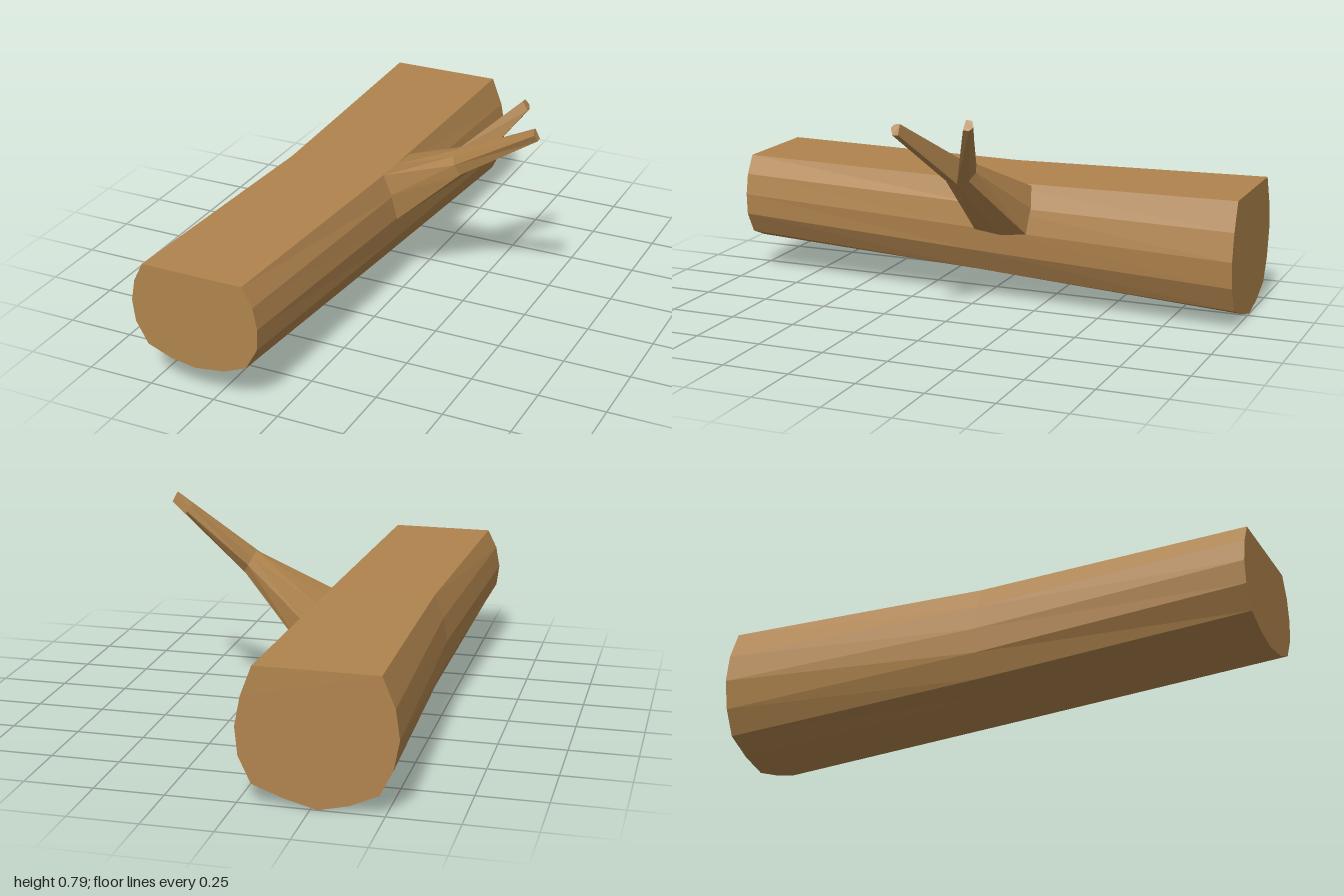
import * as THREE from 'three';

const wood = new THREE.MeshStandardMaterial({ color: 0xb0844d, flatShading: true });
wood.name = 'brown wood';

// Skin a series of matching rings, with optional flat caps at each end
function loft(name, rings, capStart, capEnd) {
  const pos = [];
  const tri = (a, b, c) => pos.push(...a, ...b, ...c);
  for (let r = 0; r < rings.length - 1; r++) {
    const a = rings[r], b = rings[r + 1], n = a.length;
    for (let i = 0; i < n; i++) {
      const j = (i + 1) % n;
      tri(a[i], a[j], b[j]);
      tri(a[i], b[j], b[i]);
    }
  }
  const first = rings[0], last = rings[rings.length - 1];
  for (let i = 1; i < first.length - 1; i++) {
    if (capStart) tri(first[0], first[i + 1], first[i]);
    if (capEnd) tri(last[0], last[i], last[i + 1]);
  }
  const geo = new THREE.BufferGeometry();
  geo.setAttribute('position', new THREE.Float32BufferAttribute(pos, 3));
  geo.computeVertexNormals();
  const mesh = new THREE.Mesh(geo, wood);
  mesh.name = name;
  return mesh;
}

export function createModel() {
  const group = new THREE.Group();
  group.name = 'fallenLog';

  // Log: flat-topped cross-sections at the front, middle and back
  const at = (z, pts) => pts.map(([x, y]) => [x, y, z]);
  const front = at(1, [
    [-0.505, 0.47], [-0.12, 0.47], [-0.08, 0.4], [-0.065, 0.32], [-0.07, 0.24], [-0.115, 0.16], [-0.2, 0.125],
    [-0.315, 0.11], [-0.41, 0.125], [-0.5, 0.16], [-0.545, 0.24], [-0.555, 0.32], [-0.54, 0.4],
  ]);
  const middle = at(0, [
    [-0.465, 0.463], [-0.075, 0.463], [-0.04, 0.38], [-0.025, 0.29], [-0.035, 0.2], [-0.08, 0.115], [-0.18, 0.083],
    [-0.295, 0.07], [-0.39, 0.083], [-0.475, 0.115], [-0.51, 0.2], [-0.515, 0.29], [-0.5, 0.38],
  ]);
  const back = at(-1, [
    [-0.485, 0.477], [-0.055, 0.477], [-0.015, 0.37], [0.005, 0.265], [-0.005, 0.165], [-0.05, 0.07], [-0.16, 0.03],
    [-0.275, 0], [-0.38, 0.025], [-0.48, 0.07], [-0.525, 0.16], [-0.545, 0.265], [-0.53, 0.37],
  ]);
  group.add(loft('log', [front, middle, back], true, true));

  // Branch: from the side of the log up to the fork
  const base = [
    [-0.08, 0.462, -0.09], [-0.075, 0.462, 0.01], [-0.04, 0.39, 0.018], [-0.025, 0.285, 0],
    [-0.025, 0.27, -0.11], [-0.025, 0.28, -0.21], [-0.04, 0.38, -0.222], [-0.07, 0.46, -0.21],
  ];
  const top = [0.2, 0.6, -0.04], bottom = [0.25, 0.52, -0.045];
  const frontSide = [[0.2, 0.588, -0.005], [0.21, 0.56, 0.01], [0.235, 0.525, 0.005]];
  const backSide = [[0.235, 0.53, -0.085], [0.215, 0.56, -0.105], [0.2, 0.588, -0.1]];
  group.add(loft('branch', [base, [top, ...frontSide, bottom, ...backSide]], false, false));

  // Two twigs sharing the fork's edge
  group.add(loft('frontTwig', [
    [top, ...frontSide, bottom],
    [[0.535, 0.783, 0.045], [0.537, 0.781, 0.066], [0.543, 0.768, 0.076], [0.553, 0.745, 0.066], [0.553, 0.747, 0.045]],
  ], false, true));
  group.add(loft('backTwig', [
    [top, bottom, ...backSide],
    [[0.41, 0.79, -0.148], [0.43, 0.757, -0.145], [0.43, 0.755, -0.168], [0.422, 0.768, -0.181], [0.41, 0.788, -0.172]],
  ], false, true));

  return group;
}
